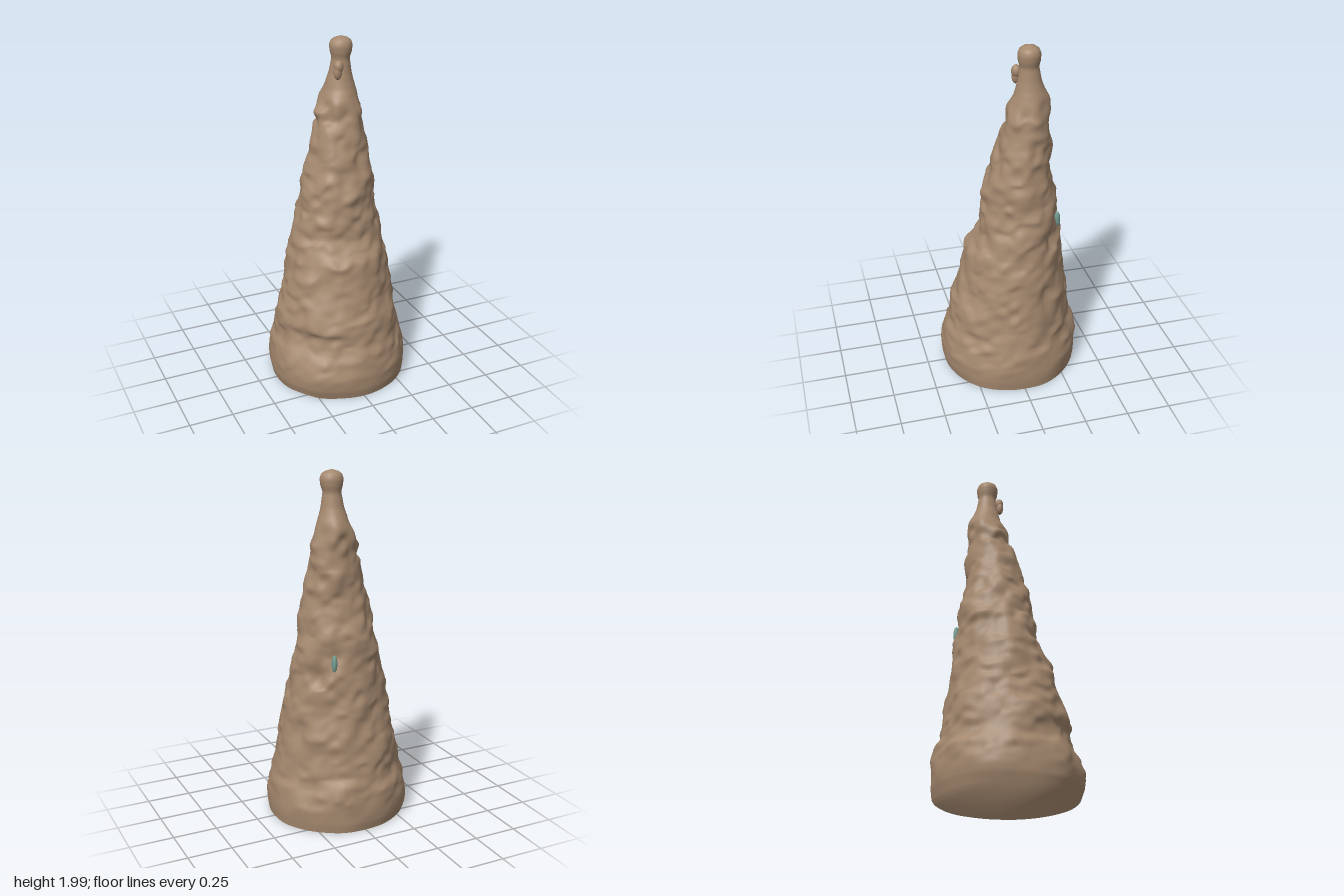
import * as THREE from 'three';

// Cross-sections of the leaning cone, bottom to top: y, xMin, xMax, zMin, zMax
const SECTIONS = [
  [0.01, -0.387, 0.395, -0.39, 0.39], [0.06, -0.397, 0.4, -0.4, 0.403],
  [0.14, -0.397, 0.402, -0.407, 0.41], [0.23, -0.385, 0.388, -0.4, 0.392],
  [0.31, -0.368, 0.368, -0.372, 0.36], [0.4, -0.36, 0.352, -0.358, 0.347],
  [0.6, -0.31, 0.325, -0.328, 0.293], [0.78, -0.28, 0.305, -0.31, 0.25],
  [0.9, -0.237, 0.28, -0.29, 0.178], [1.05, -0.208, 0.257, -0.28, 0.16],
  [1.15, -0.19, 0.25, -0.263, 0.15], [1.3, -0.143, 0.222, -0.238, 0.11],
  [1.45, -0.105, 0.2, -0.228, 0.065], [1.6, -0.075, 0.188, -0.216, 0.03],
  [1.66, -0.045, 0.165, -0.207, 0.01], [1.72, -0.02, 0.15, -0.193, -0.018],
  [1.8, 0.005, 0.13, -0.165, -0.035], [1.88, 0.02, 0.118, -0.149, -0.046],
  [1.915, 0.01, 0.13, -0.157, -0.036], [1.95, 0.005, 0.134, -0.159, -0.034],
  [1.975, 0.014, 0.126, -0.15, -0.043], [1.99, 0.035, 0.105, -0.13, -0.064],
  [2.0, 0.07, 0.07, -0.097, -0.097],
];

// Swellings on the surface: angle from the front towards +x, y, angular and vertical size, push
const BULGES = [
  [-1.23, 0.15, 0.22, 0.12, 0.018], [-0.69, 0.15, 0.2, 0.13, 0.02],
  [-2.2, 0.11, 0.3, 0.13, 0.016], [-0.78, 1.48, 0.4, 0.06, 0.014],
  [-1.6, 1.6, 0.4, 0.04, 0.022], [-2.4, 1.65, 0.5, 0.06, 0.022],
  [2.9, 1.69, 0.4, 0.05, 0.014],
  // Hollows
  [2.3, 0.27, 0.22, 0.05, -0.02], [2.3, 0.9, 0.2, 0.05, -0.018],
  [-0.95, 0.33, 0.2, 0.07, -0.018],
];

const EARTH = new THREE.MeshStandardMaterial({ color: 0xa5896f });
const TEAL = new THREE.MeshStandardMaterial({ color: 0x6f9a8e });

// Repeatable smooth 3D value noise in the range -1..1
function hash(x, y, z) {
  const s = Math.sin(x * 127.1 + y * 311.7 + z * 74.7) * 43758.5453;
  return (s - Math.floor(s)) * 2 - 1;
}
function noise(x, y, z) {
  const [i, j, k] = [x, y, z].map(Math.floor);
  const [u, v, w] = [x - i, y - j, z - k].map((t) => t * t * (3 - 2 * t));
  const mix = THREE.MathUtils.lerp;
  const row = (b, c) => mix(hash(i, b, c), hash(i + 1, b, c), u);
  return mix(mix(row(j, k), row(j + 1, k), v), mix(row(j, k + 1), row(j + 1, k + 1), v), w);
}

// Interpolated cross-section at height y
function sectionAt(y) {
  let n = 0;
  while (n < SECTIONS.length - 2 && SECTIONS[n + 1][0] < y) n++;
  const a = SECTIONS[n], b = SECTIONS[n + 1];
  const t = THREE.MathUtils.clamp((y - a[0]) / (b[0] - a[0]), 0, 1);
  return a.map((v, i) => v + (b[i] - v) * t);
}

// Total push of the bulges at an angle and height
function bulgeAt(angle, y) {
  return BULGES.reduce((sum, [a, by, wa, wy, push]) => {
    const da = Math.atan2(Math.sin(angle - a), Math.cos(angle - a)) / wa;
    const dy = (y - by) / wy;
    return sum + push * Math.exp(-da * da - dy * dy);
  }, 0);
}

// Rough earthen cone: rings from the foot to the tip, closed below
function moundGeometry(rows, cols) {
  const positions = [], indices = [];
  for (let r = 0; r <= rows; r++) {
    const y = 0.01 + (1.99 * r) / rows;
    const [, x0, x1, z0, z1] = sectionAt(y);
    // Crags fade out at the foot and on the neck
    const rough = THREE.MathUtils.smoothstep(y, 0.03, 0.25) *
      (1 - THREE.MathUtils.smoothstep(y, 1.62, 1.74));
    for (let c = 0; c < cols; c++) {
      const a = (c / cols) * Math.PI * 2;
      const dx = Math.sin(a), dz = Math.cos(a);
      const px = (x0 + x1) / 2 + (dx * (x1 - x0)) / 2;
      const pz = (z0 + z1) / 2 + (dz * (z1 - z0)) / 2;
      const broad = noise(px * 8 + 5, y * 9, pz * 8 + 9);
      const fine = noise(px * 19 + 31, y * 22, pz * 19 + 17);
      const crags = rough * (0.011 * broad + 0.011 * fine - 0.006);
      const push = crags + bulgeAt(a, y) + (y < 1.75 ? 0.003 * broad : 0);
      const sag = rough * 0.016 * noise(px * 14 + 3, y * 14 + 40, pz * 14);
      positions.push(px + dx * push, y + sag, pz + dz * push);
    }
  }
  for (let r = 0; r < rows; r++) {
    for (let c = 0; c < cols; c++) {
      const p = r * cols + c, q = r * cols + ((c + 1) % cols);
      indices.push(p, q, q + cols, p, q + cols, p + cols);
    }
  }
  const geometry = new THREE.BufferGeometry();
  geometry.setAttribute('position', new THREE.Float32BufferAttribute(positions, 3));
  geometry.setIndex(indices);
  geometry.computeVertexNormals();

  // Underside spans the foot ring and keeps its soft shading
  for (let c = 0; c < cols / 2; c++) {
    const left = (cols - c) % cols, nextLeft = cols - c - 1;
    indices.push(c, left, nextLeft, c, nextLeft, c + 1);
  }
  geometry.setIndex(indices);
  return geometry;
}

// Small rounded lump set into the surface
function lump(name, material, position, size) {
  const mesh = new THREE.Mesh(new THREE.SphereGeometry(1, 14, 10), material);
  mesh.name = name;
  mesh.position.set(...position);
  mesh.scale.set(...size);
  return mesh;
}

export function createModel() {
  const group = new THREE.Group();
  group.name = 'earthMound';

  const body = new THREE.Mesh(moundGeometry(160, 84), EARTH);
  body.name = 'moundBody';

  // Lump on the neck and a small coloured fleck on the back
  group.add(
    body,
    lump('neckLumpTop', EARTH, [0.03, 1.845, -0.037], [0.027, 0.035, 0.027]),
    lump('neckLumpBottom', EARTH, [0.024, 1.815, -0.035], [0.023, 0.042, 0.021]),
    lump('tealFleck', TEAL, [0.13, 0.97, -0.253], [0.015, 0.05, 0.018]),
  );
  return group;
}
